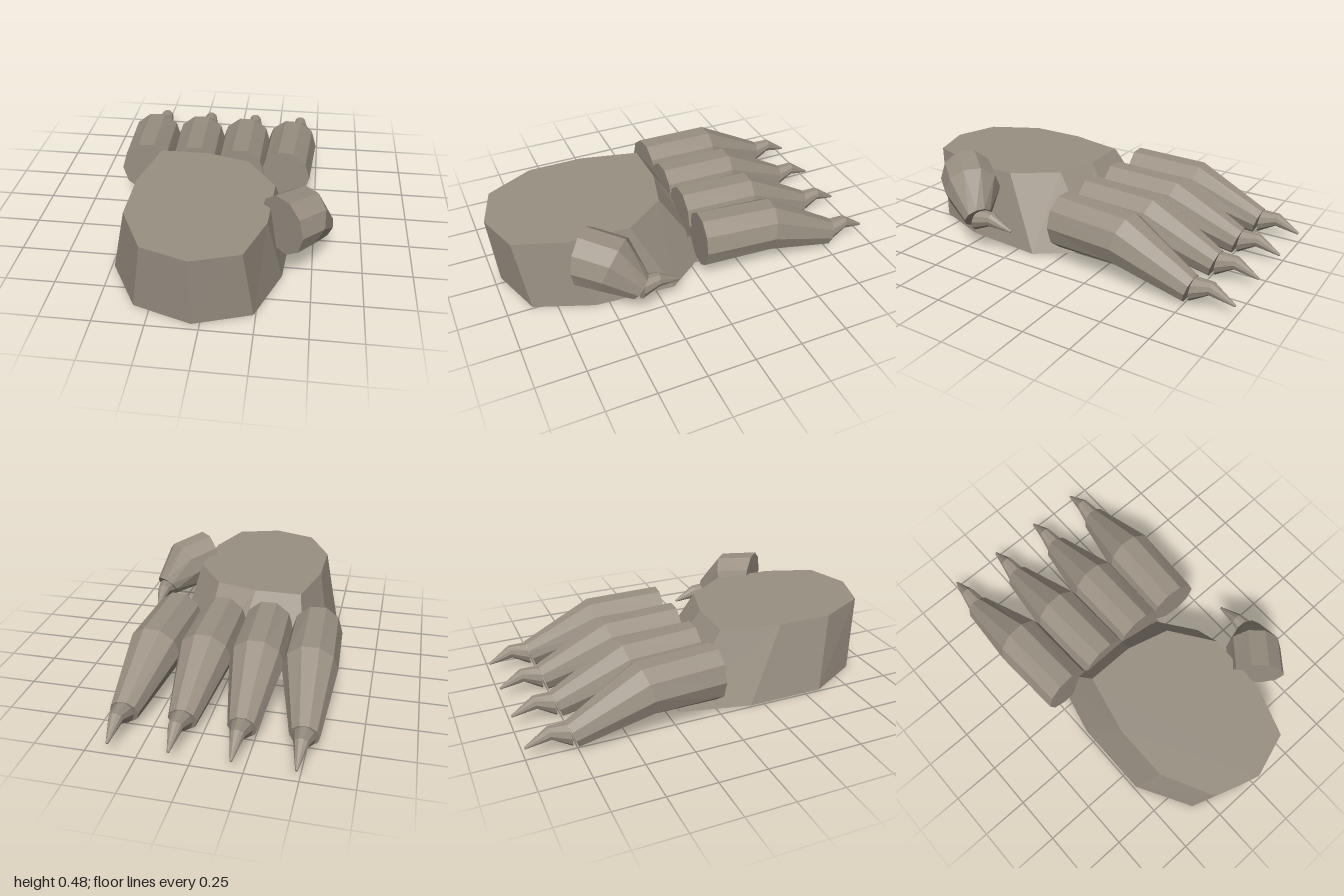
import * as THREE from 'three';

const SIDES = 10;

// Skins a list of rings (equal point counts) and closes both ends; rings run counter-clockwise seen from the start
function loft(rings, material, name) {
  const n = rings[0].length, pos = [], idx = [];
  rings.forEach(r => r.forEach(p => pos.push(p.x, p.y, p.z)));
  for (let i = 0; i < rings.length - 1; i++) {
    for (let j = 0; j < n; j++) {
      const a = i * n + j, b = i * n + (j + 1) % n;
      idx.push(a, a + n, b, b, a + n, b + n);
    }
  }
  const last = (rings.length - 1) * n;
  for (let j = 1; j < n - 1; j++) {
    idx.push(0, j, j + 1, last, last + j + 1, last + j);
  }
  const indexed = new THREE.BufferGeometry();
  indexed.setAttribute('position', new THREE.Float32BufferAttribute(pos, 3));
  indexed.setIndex(idx);
  const geometry = indexed.toNonIndexed();
  geometry.computeVertexNormals();
  const mesh = new THREE.Mesh(geometry, material);
  mesh.name = name;
  return mesh;
}

// Ten-sided ring around a centre, tilted by pitch and turned by yaw
function ring(x, y, z, rx, ry, pitch = 0, yaw = 0) {
  const turn = new THREE.Euler(pitch, yaw, 0, 'YXZ');
  return Array.from({ length: SIDES }, (_, i) => {
    const a = i / SIDES * Math.PI * 2;
    return new THREE.Vector3(Math.cos(a) * rx, Math.sin(a) * ry, 0)
      .applyEuler(turn).add(new THREE.Vector3(x, y, z));
  });
}

export function createModel() {
  const paw = new THREE.Group();
  paw.name = 'paw';
  const skin = new THREE.MeshStandardMaterial({ color: 0x9a9083, flatShading: true });
  skin.name = 'greyBrownSkin';

  // Palm: flat top and bottom outlines joined by sloping sides
  const outline = (points, y) => points.map(([x, z]) => new THREE.Vector3(x, y, z));
  const palmTop = [[-0.04, 1], [0.19, 0.925], [0.28, 0.67], [0.295, 0.35], [0.14, 0.13],
    [-0.08, 0.07], [-0.33, 0.07], [-0.4, 0.38], [-0.4, 0.67], [-0.27, 0.925]];
  const palmBottom = [[-0.04, 0.965], [0.24, 0.87], [0.355, 0.57], [0.387, 0.15], [0.19, -0.12],
    [0.01, -0.19], [-0.4, -0.19], [-0.488, 0.18], [-0.488, 0.59], [-0.33, 0.87]];
  paw.add(loft([outline(palmTop, 0.387), outline(palmBottom, 0)], skin, 'palm'));

  // Four fingers: x of base, knuckle and tip, and turn of the base
  const fingers = [
    [-0.437, -0.452, -0.487, 0.08], [-0.173, -0.185, -0.195, 0.02],
    [0.08, 0.082, 0.095, -0.02], [0.327, 0.348, 0.386, -0.08],
  ];
  fingers.forEach(([base, knuckle, tip, yaw], i) => {
    const finger = new THREE.Group();
    finger.name = 'finger' + (i + 1);
    finger.add(loft([
      ring(base, 0.222, -0.015, 0.135, 0.15, 0, yaw),
      ring(knuckle, 0.218, -0.395, 0.14, 0.14, -0.2, yaw),
      ring(tip, 0.078, -0.768, 0.072, 0.075, -0.32),
    ], skin, 'fingerBody'));
    finger.add(loft([
      ring(tip, 0.082, -0.782, 0.055, 0.064, -0.13),
      ring(tip, 0.11, -0.875, 0.036, 0.036, -0.2),
      ring(tip, 0.056, -0.997, 0.006, 0.006, -0.4),
    ], skin, 'claw'));
    paw.add(finger);
  });

  // Thumb on the left side of the palm
  const thumb = new THREE.Group();
  thumb.name = 'thumb';
  thumb.add(loft([
    ring(0.342, 0.332, 0.608, 0.145, 0.153, 0, -0.77),
    ring(0.44, 0.315, 0.49, 0.145, 0.148, -0.35, -0.75),
    ring(0.525, 0.21, 0.39, 0.073, 0.073, -0.6, -0.5),
  ], skin, 'thumbBody'));
  thumb.add(loft([
    ring(0.525, 0.2, 0.385, 0.055, 0.06, -0.2, -0.1),
    ring(0.524, 0.218, 0.3, 0.036, 0.038, -0.2),
    ring(0.52, 0.178, 0.18, 0.006, 0.006, -0.3),
  ], skin, 'thumbClaw'));
  paw.add(thumb);

  return paw;
}
